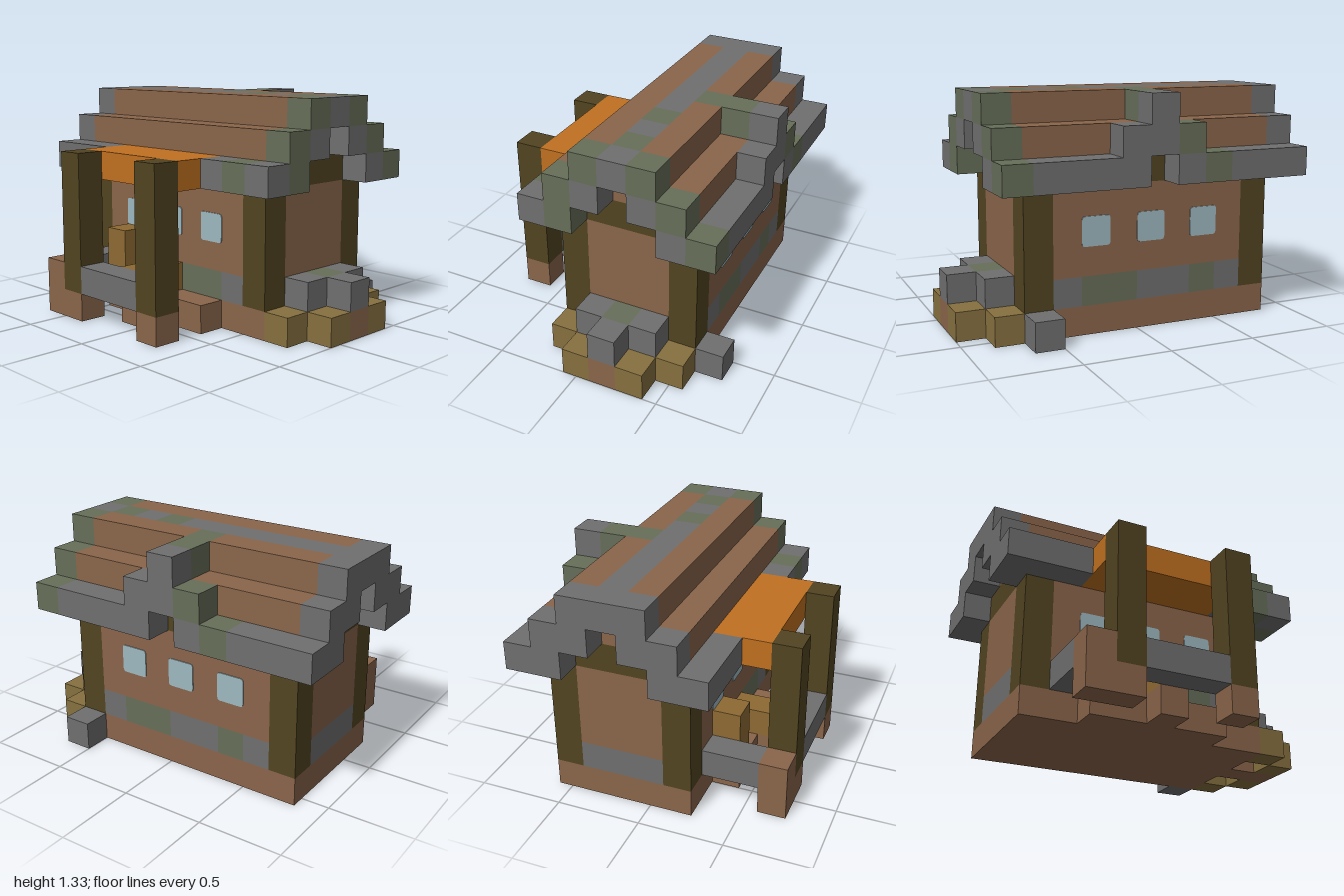
import * as THREE from 'three';

const U = 1 / 6; // size of one block
const paint = (name, hex) => Object.assign(new THREE.MeshStandardMaterial({ color: hex }), { name });

export function createModel() {
  const model = new THREE.Group();
  const brown = paint('brownWood', 0x8a654a), dark = paint('darkTimber', 0x524421);
  const grey = paint('greyStone', 0x6f6f6f), green = paint('mossyStone', 0x666e59);
  const orange = paint('orangeCanopy', 0xc07020), straw = paint('pathPlanks', 0x86703f);
  const oak = paint('oakSeat', 0x8e6a33), glass = paint('paleGlass', 0x9db8c0);

  // Block-grid box: inclusive cell ranges [from, to] or a single cell index
  function block(name, mat, x, y, z) {
    const [[a, b], [c, d], [e, f]] = [x, y, z].map(r => (Array.isArray(r) ? r : [r, r]));
    const mesh = new THREE.Mesh(
      new THREE.BoxGeometry((b - a + 1) * U, (d - c + 1) * U, (f - e + 1) * U), mat);
    mesh.position.set((a + b + 1) * U / 2 - 0.75, (c + d + 1) * U / 2, (e + f + 1) * U / 2 - 1);
    mesh.name = name;
    model.add(mesh);
  }

  // House body
  block('foundation', brown, [3, 7], 0, [1, 9]);
  block('sideWalls', brown, [3, 7], [2, 4], [2, 8]);
  for (const z of [1, 9]) {
    block('endWall', brown, [4, 6], [2, 4], z);
    block('stoneBand', grey, [4, 6], 1, z);
    block('tieBeam', dark, [4, 6], 5, z);
    block('gableInfill', brown, 5, 6, z);
    for (const x of [3, 7]) block('cornerPost', dark, x, [1, 4], z);
  }
  for (const x of [3, 7]) {
    block('wallBeam', dark, x, 5, [1, 9]);
    [grey, green, grey, grey, green, green, grey].forEach((m, i) => block('stoneBand', m, x, 1, i + 2));
  }

  // Windows with rounded corners on both long walls
  const w = 0.084, r = 0.02, s = new THREE.Shape();
  s.moveTo(-w + r, -w).lineTo(w - r, -w).quadraticCurveTo(w, -w, w, -w + r)
    .lineTo(w, w - r).quadraticCurveTo(w, w, w - r, w)
    .lineTo(-w + r, w).quadraticCurveTo(-w, w, -w, w - r)
    .lineTo(-w, -w + r).quadraticCurveTo(-w, -w, -w + r, -w);
  const pane = new THREE.ExtrudeGeometry(s, { depth: 0.005, bevelEnabled: false, curveSegments: 4 });
  for (const side of [1, -1]) for (const k of [3, 5, 7]) {
    const win = new THREE.Mesh(pane, glass);
    win.name = 'window';
    win.rotation.y = side * Math.PI / 2;
    win.position.set(side > 0 ? 3.5 * U : -1.5 * U, 3.5 * U, (k + 0.5) * U - 1);
    model.add(win);
  }

  // Stepped stone gables: cell x, row y, front material
  const gable = [[4, 7, green], [5, 7, grey], [6, 7, green], [3, 6, green], [4, 6, grey], [6, 6, grey],
    [7, 6, green], [2, 5, grey], [3, 5, green], [7, 5, grey], [8, 5, green]];
  for (const [x, y, m] of gable) {
    block('frontGable', m, x, y, 10);
    block('backGable', grey, x, y, 0);
  }

  // Roof steps, ridge and eaves
  block('roofLeftUpper', brown, 4, 7, [1, 9]);
  block('roofLeftLower', brown, 3, 6, [1, 9]);
  block('roofRightLower', brown, 7, 6, [1, 9]);
  for (const z of [[1, 4], [6, 9]]) block('roofRightUpper', brown, 6, 7, z);
  for (const [m, z] of [[grey, [1, 6]], [green, 7], [grey, 8], [green, 9]]) block('ridge', m, 5, 7, z);
  for (const [m, z] of [[grey, [1, 2]], [grey, 8], [green, 9]]) block('leftEave', m, 2, 5, z);
  for (const [m, z] of [[grey, [1, 2]], [green, 3], [grey, 4], [grey, [6, 9]]]) block('rightEave', m, 8, 5, z);

  // Right dormer
  block('dormerRidge', green, [6, 7], 7, 5);
  block('dormerRidge', grey, 8, [6, 7], 5);
  block('dormerShoulder', green, 8, 6, 4);
  block('dormerShoulder', grey, 8, 6, 6);

  // Left porch
  block('porchCanopy', orange, [1, 2], 5, [3, 7]);
  for (const z of [3, 7]) {
    block('porchPost', dark, 0, [1, 5], z);
    block('porchFooting', brown, 0, 0, z);
  }
  block('porchRail', grey, 0, 1, [4, 6]);
  block('porchRail', grey, [1, 2], 1, 2);
  block('railEndPost', brown, 0, [0, 1], 2);
  block('porchFloor', brown, 2, 0, [3, 7]);
  block('porchFloor', brown, 1, 0, 5);
  block('seatStack', oak, 2, [1, 2], 3);
  block('seat', oak, [1, 2], 1, 5);

  // Front steps
  for (const x of [3, 7]) block('pathBlock', straw, x, 0, 10);
  for (const x of [4, 6]) {
    block('pathBlock', straw, x, 0, 11);
    block('doorstep', grey, x, 1, 10);
  }
  block('pathCentre', brown, 5, 0, [10, 11]);
  block('doorstep', green, 5, 1, 10);
  block('doorstep', grey, 5, 1, 11);
  block('cornerStone', grey, 8, 0, 9);
  return model;
}
